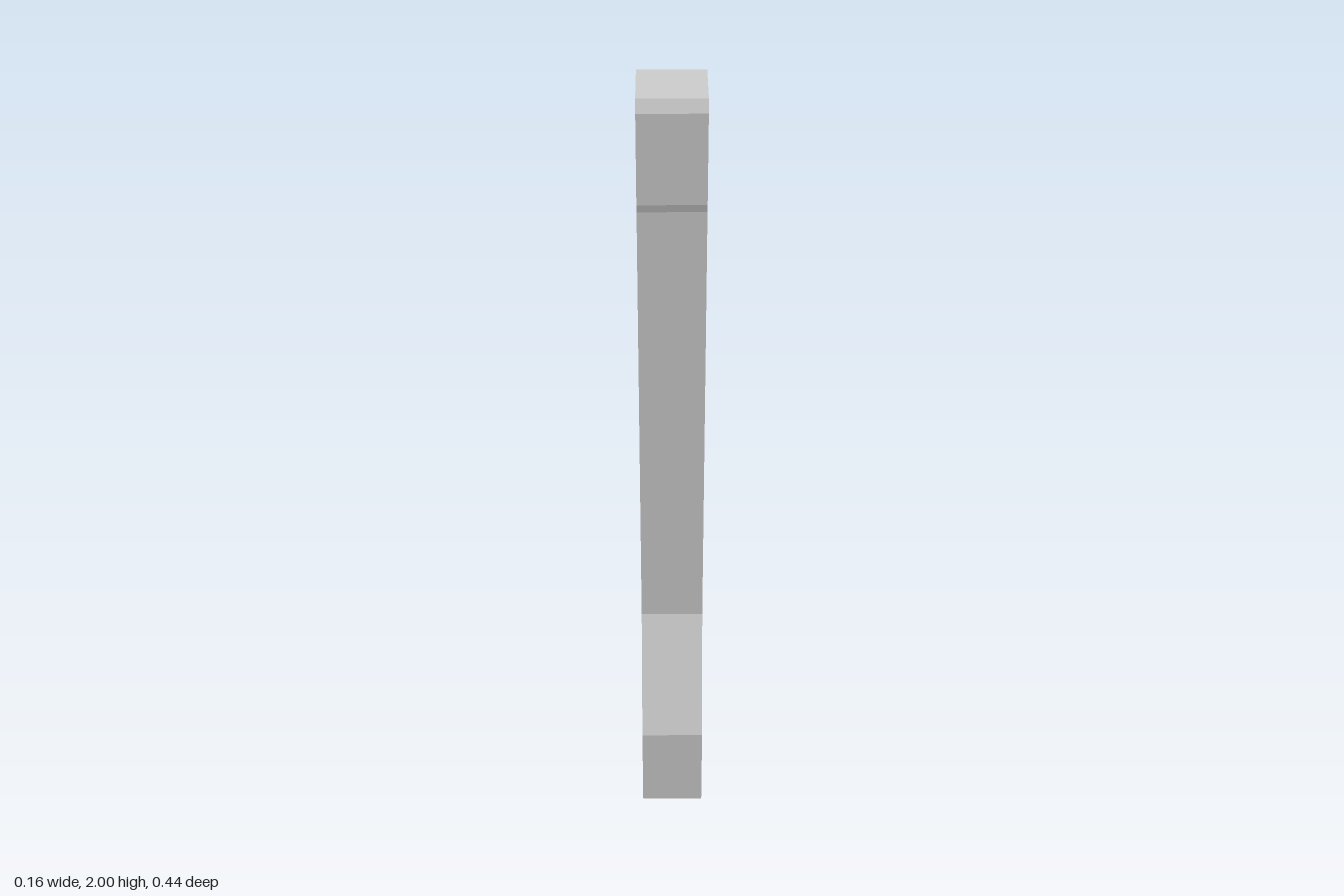
import * as THREE from 'three';

export function createModel() {
  const group = new THREE.Group();
  const width = 0.16;

  // Half of the side profile: [half depth, height], from the foot to the top
  const half = [
    [0.222, 0], [0.222, 0.24],   // foot block
    [0.088, 0.55],               // sloped shoulder
    [0.087, 0.9], [0.088, 1.73], // shaft
    [0.093, 1.75], [0.093, 1.97], // slightly wider head
    [0.08, 2],                   // chamfered top
  ];
  const mirrored = half.map(([d, y]) => [-d, y]).reverse();
  const profile = new THREE.Shape([...half, ...mirrored].map(([d, y]) => new THREE.Vector2(d, y)));

  // Extrude across the width, then turn so the profile lies in the z-y plane
  const geometry = new THREE.ExtrudeGeometry(profile, { depth: width, bevelEnabled: false });
  geometry.translate(0, 0, -width / 2);
  geometry.rotateY(-Math.PI / 2);

  const post = new THREE.Mesh(
    geometry,
    new THREE.MeshStandardMaterial({ color: 0xcccccc, flatShading: true })
  );
  post.name = 'flaredPost';
  group.add(post);
  return group;
}
